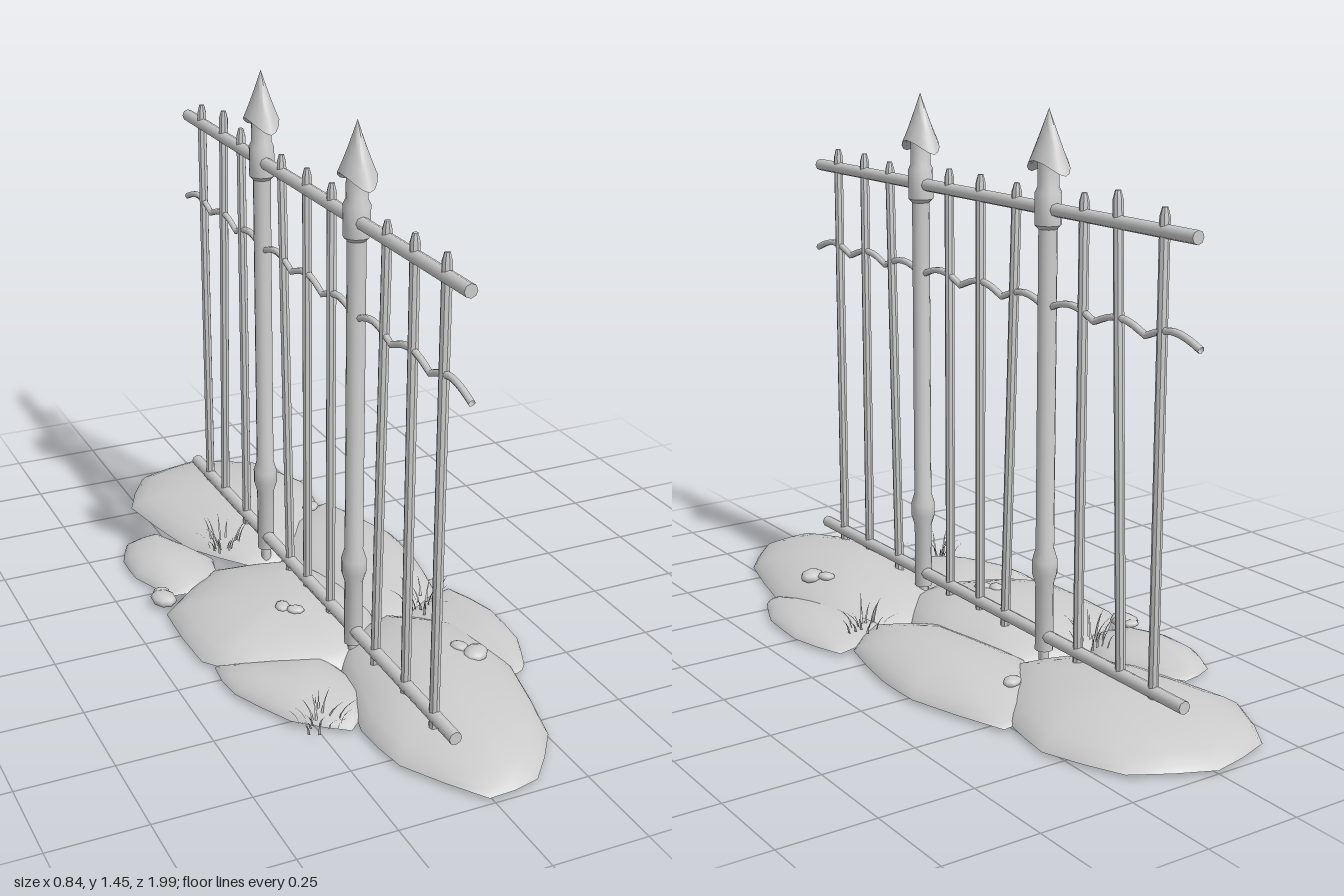
import * as THREE from 'three';
import { toCreasedNormals, mergeGeometries } from 'three/addons/utils/BufferGeometryUtils.js';

const metal = new THREE.MeshStandardMaterial({ color: 0xcccccc });
const thin = new THREE.MeshStandardMaterial({ color: 0xcccccc, side: THREE.DoubleSide });
const FENCE_X = -0.03;

let seed = 7;
const rand = (a = 0, b = 1) => {
  seed = (seed * 16807) % 2147483647;
  return a + (b - a) * seed / 2147483647;
};

const add = (parent, name, geometry, material = metal) => {
  const mesh = new THREE.Mesh(geometry, material);
  mesh.name = name;
  parent.add(mesh);
  return mesh;
};

const lathe = (profile, sides) => toCreasedNormals(
  new THREE.LatheGeometry(profile.map(([r, y]) => new THREE.Vector2(r, y)), sides), 0.7);

// Low open dome stretched over an outline of [x, z] points (clockwise from above)
function mound(outline, height, base = 0.008) {
  const curve = new THREE.CatmullRomCurve3(outline.map(([x, z]) => new THREE.Vector3(x, 0, z)), true, 'catmullrom', 0.15);
  const rim = [];
  const n = outline.length * 2;
  for (let i = 0; i < n; i++) rim.push(curve.getPoint(i / n));
  const center = rim.reduce((s, p) => s.add(p), new THREE.Vector3()).divideScalar(n);
  const rings = [1, 0.96, 0.86, 0.7, 0.5, 0.25];
  const pos = [], index = [];
  rings.forEach((t) => rim.forEach((p) => {
    const q = center.clone().lerp(p, t);
    pos.push(q.x, base + height * Math.pow(1 - t * t, 0.65), q.z);
  }));
  pos.push(center.x, base + height, center.z);
  const top = rings.length * n;
  for (let r = 0; r < rings.length; r++) {
    for (let i = 0; i < n; i++) {
      const j = (i + 1) % n, a = r * n + i, b = r * n + j;
      if (r === rings.length - 1) index.push(b, a, top);
      else index.push(b, a, a + n, b, a + n, b + n);
    }
  }
  const g = new THREE.BufferGeometry();
  g.setAttribute('position', new THREE.Float32BufferAttribute(pos, 3));
  g.setIndex(index);
  g.computeVertexNormals();
  return g;
}

// Flattened barbed spear point: thin in x, with the barbs drooping along z
function spearhead() {
  const profile = [[0, 0], [0.04, 0], [0.07, 0], [0.052, 0.027], [0.033, 0.06], [0.016, 0.092], [0, 0.125]];
  const g = new THREE.LatheGeometry(profile.map(([r, y]) => new THREE.Vector2(r, y)), 16);
  const p = g.attributes.position;
  for (let i = 0; i < p.count; i++) {
    const x = p.getX(i), z = p.getZ(i), r = Math.hypot(x, z) || 1e-6;
    const c = Math.abs(x) / r, s = z / r;
    p.setX(i, x * 0.64 * (0.75 + 0.25 * c));
    p.setY(i, p.getY(i) - 0.035 * s * s * (r / 0.07) ** 2);
  }
  return toCreasedNormals(g, 0.8);
}

// One tapered blade bending outwards from the origin
function blade(angle, length, bend, width) {
  const pos = [], index = [];
  for (let i = 0; i <= 4; i++) {
    const t = i / 4, w = width * (1 - t * 0.95);
    const out = bend * t * t + 0.15 * length * t, y = length * t * (1 - 0.25 * t);
    for (const s of [-1, 1]) {
      pos.push(Math.cos(angle) * out - Math.sin(angle) * w * s, y, Math.sin(angle) * out + Math.cos(angle) * w * s);
    }
    if (i < 4) index.push(2 * i, 2 * i + 2, 2 * i + 1, 2 * i + 1, 2 * i + 2, 2 * i + 3);
  }
  const g = new THREE.BufferGeometry();
  g.setAttribute('position', new THREE.Float32BufferAttribute(pos, 3));
  g.setIndex(index);
  g.computeVertexNormals();
  return g;
}

export function createModel() {
  const model = new THREE.Group();
  model.name = 'ironFence';
  const fence = new THREE.Group();
  fence.name = 'fence';
  fence.position.x = FENCE_X;
  model.add(fence);

  // Pickets: [bottom z, top z, top y]
  [[0.75, 0.75, 1.26], [0.6, 0.6, 1.26], [0.43, 0.462, 1.25], [0.158, 0.158, 1.26], [0.01, 0.01, 1.26],
    [-0.107, -0.152, 1.255], [-0.43, -0.43, 1.26], [-0.605, -0.557, 1.28], [-0.727, -0.727, 1.26],
  ].forEach(([z0, z1, top]) => {
    const y0 = 0.02, h = Math.hypot(top - y0, z1 - z0);
    const bar = add(fence, 'picket', lathe([[0, 0], [0.013, 0], [0.013, h - 0.022], [0.007, h], [0, h]], 8));
    bar.position.set(0, y0, z0);
    bar.rotation.x = Math.atan2(z1 - z0, top - y0);
  });

  // Main posts with collar, knuckle and spear point
  const postProfile = [[0, 0], [0.014, 0], [0.014, 0.055], [0.024, 0.055], [0.024, 0.235], [0.033, 0.265], [0.033, 0.3],
    [0.024, 0.33], [0.024, 1.155], [0.034, 1.165], [0.034, 1.245], [0.027, 1.26], [0.027, 1.33], [0, 1.33]];
  [0.3, -0.285].forEach((z) => {
    const post = new THREE.Group();
    post.name = 'post';
    post.position.z = z;
    fence.add(post);
    add(post, 'postShaft', lathe(postProfile, 12));
    add(post, 'spearhead', spearhead()).position.y = 1.325;
  });

  // Horizontal rails
  [['topRail', 1.205], ['bottomRail', 0.095]].forEach(([name, y]) => {
    const rail = add(fence, name, new THREE.CylinderGeometry(0.017, 0.017, 1.7, 8));
    rail.rotation.x = Math.PI / 2;
    rail.position.set(0, y, 0.008);
  });

  // Scalloped rod made of nine shallow arches
  const rod = [], arches = 9, z0 = 0.878, span = 1.74 / arches;
  for (let i = 0; i < arches * 6; i++) {
    rod.push(new THREE.Vector3(0, 0.955 + 0.026 * Math.sin(Math.PI * (i % 6) / 6), z0 - span * i / 6));
  }
  rod.push(new THREE.Vector3(0, 0.955, z0 - span * arches));
  const rodCurve = new THREE.CatmullRomCurve3(rod, false, 'catmullrom', 0.3);
  add(fence, 'scallopedRod', new THREE.TubeGeometry(rodCurve, arches * 8, 0.009, 6), thin);

  // Earth mounds
  const ground = new THREE.Group();
  ground.name = 'ground';
  model.add(ground);
  [
    ['backMound', 0.077, [[0, -1], [0.19, -0.9], [0.277, -0.7], [0.25, -0.53], [0.16, -0.37], [0.05, -0.25],
      [-0.09, -0.28], [-0.21, -0.45], [-0.277, -0.77], [-0.18, -0.95]]],
    ['frontMound', 0.08, [[-0.14, 0.79], [-0.16, 0.62], [-0.09, 0.36], [-0.03, 0.22], [0.14, 0.15], [0.29, 0.26],
      [0.32, 0.53], [0.25, 0.82], [0.13, 0.97], [-0.01, 0.99]]],
    ['rightMiddleMound', 0.077, [[-0.2, -0.28], [0.04, -0.24], [0.11, -0.02], [0.11, 0.13], [0.03, 0.3],
      [-0.09, 0.35], [-0.31, 0.26], [-0.4, 0.16], [-0.4, -0.11]]],
    ['leftMiddleMound', 0.06, [[0.28, -0.55], [0.37, -0.28], [0.37, -0.13], [0.33, 0.08], [0.2, 0.2],
      [0.05, 0.1], [0, -0.25], [0.1, -0.5]]],
    ['rightBackMound', 0.045, [[-0.27, -0.57], [-0.17, -0.35], [-0.22, -0.2], [-0.35, -0.2], [-0.41, -0.34],
      [-0.41, -0.45], [-0.37, -0.54]]],
    ['leftFrontMound', 0.035, [[0.37, 0.08], [0.42, 0.24], [0.41, 0.4], [0.36, 0.52], [0.32, 0.55], [0.18, 0.4], [0.18, 0.15]]],
    ['rightFrontMound', 0.045, [[-0.1, 0.28], [-0.08, 0.5], [-0.18, 0.61], [-0.3, 0.51], [-0.38, 0.34], [-0.38, 0.2]]],
  ].forEach(([name, height, outline]) => add(ground, name, mound(outline, height), thin));

  // Pebbles: x, y, z, radius
  [[0.18, 0.07, -0.44, 0.028], [-0.385, 0.022, -0.175, 0.042], [-0.38, 0.025, -0.212, 0.022], [-0.145, 0.083, 0.1, 0.025],
    [-0.12, 0.083, 0.13, 0.024], [0.22, 0.07, 0.505, 0.04], [0.195, 0.075, 0.465, 0.026], [0.315, 0.032, 0.4, 0.018],
  ].forEach(([x, y, z, r], i) => {
    const pebble = add(ground, 'pebble', new THREE.SphereGeometry(r, 8, 6));
    pebble.position.set(x, y, z);
    pebble.scale.set(1.05, 0.45, 0.8);
    pebble.rotation.y = i * 1.3 + 0.5;
  });

  // Grass tufts: x, y, z, blade height
  [[-0.15, 0.06, -0.33, 0.09], [0.25, 0.03, 0.17, 0.08], [-0.25, 0.02, 0.56, 0.07]].forEach(([x, y, z, h]) => {
    const blades = [];
    for (let i = 0; i < 18; i++) {
      const angle = i * 2.4 + rand(-0.3, 0.3), spread = rand(0.01, 0.06);
      const g = blade(angle, h * rand(0.65, 1.1), rand(0.015, 0.04), 0.0035);
      g.translate(Math.cos(angle) * spread, 0, Math.sin(angle) * spread);
      blades.push(g);
    }
    add(ground, 'grassTuft', mergeGeometries(blades), thin).position.set(x, y, z);
  });

  return model;
}
